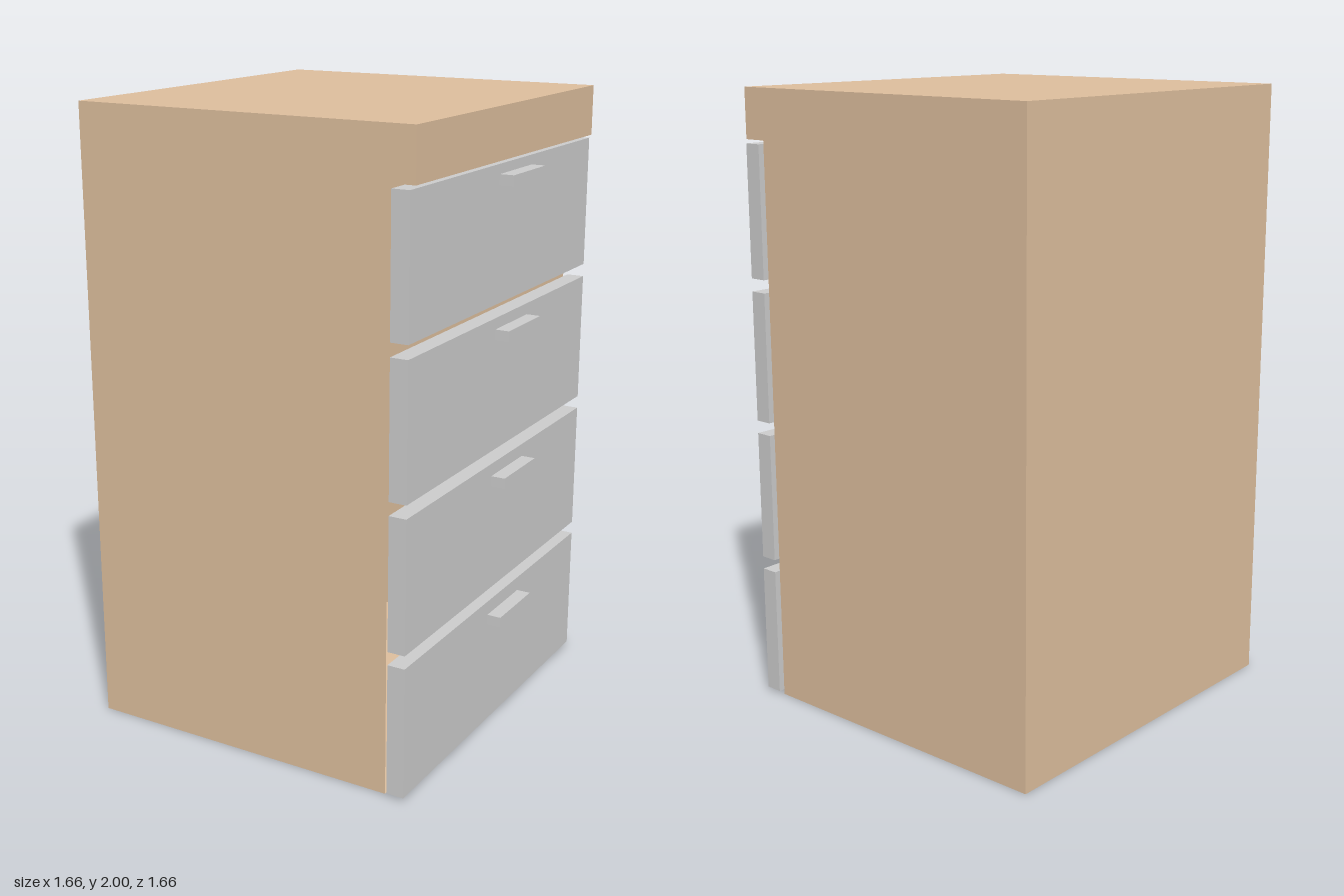
import * as THREE from 'three';

const WOOD = new THREE.MeshStandardMaterial({ color: 0xdcbd9c, side: THREE.DoubleSide });
const GREY = new THREE.MeshStandardMaterial({ color: 0xcccccc });

const WIDTH = 1.216;            // cabinet width
const BACK = -0.569;            // depth of the back wall
const BODY_FRONT = 0.488;       // front edge of the open body
const TOP_FRONT = 0.567;        // the top overhangs the drawers
const TOP_Y = 1.84;             // underside of the top

export function createModel() {
  const model = new THREE.Group();
  model.name = 'drawerCabinet';

  const add = (name, geometry, material, x, y, z, parent = model) => {
    const mesh = new THREE.Mesh(geometry, material);
    mesh.name = name;
    mesh.position.set(x, y, z);
    parent.add(mesh);
    return mesh;
  };

  // Solid top, flush with the sides and overhanging the front
  add('top', new THREE.BoxGeometry(WIDTH, 2 - TOP_Y, TOP_FRONT - BACK), WOOD,
    0, (2 + TOP_Y) / 2, (TOP_FRONT + BACK) / 2);

  // Thin-walled body, open at the front
  const depth = BODY_FRONT - BACK;
  const midZ = (BODY_FRONT + BACK) / 2;
  for (const [name, side] of [['leftWall', 1], ['rightWall', -1]]) {
    const wall = add(name, new THREE.PlaneGeometry(depth, TOP_Y), WOOD, side * WIDTH / 2, TOP_Y / 2, midZ);
    wall.rotation.y = side * Math.PI / 2;
  }
  const back = add('backWall', new THREE.PlaneGeometry(WIDTH, TOP_Y), WOOD, 0, TOP_Y / 2, BACK);
  back.rotation.y = Math.PI;
  const floor = add('floor', new THREE.PlaneGeometry(WIDTH, depth), WOOD, 0, 0, midZ);
  floor.rotation.x = Math.PI / 2;

  // Four drawer fronts, each with a bar handle near its upper edge
  const panel = new THREE.BoxGeometry(1.238, 0.423, 0.057);
  const bar = new THREE.BoxGeometry(0.224, 0.032, 0.045);
  for (let i = 0; i < 4; i++) {
    const drawer = new THREE.Group();
    drawer.name = `drawer${i + 1}`;
    drawer.position.y = 0.222 + i * 0.465;
    add('drawerFront', panel, GREY, 0, 0, 0.527, drawer);
    add('handle', bar, GREY, 0, 0.173, 0.6, drawer);
    model.add(drawer);
  }

  // The cabinet stands turned by an eighth of a circle
  model.rotation.y = Math.PI / 4;
  const root = new THREE.Group();
  root.name = 'cabinet';
  root.add(model);
  return root;
}
